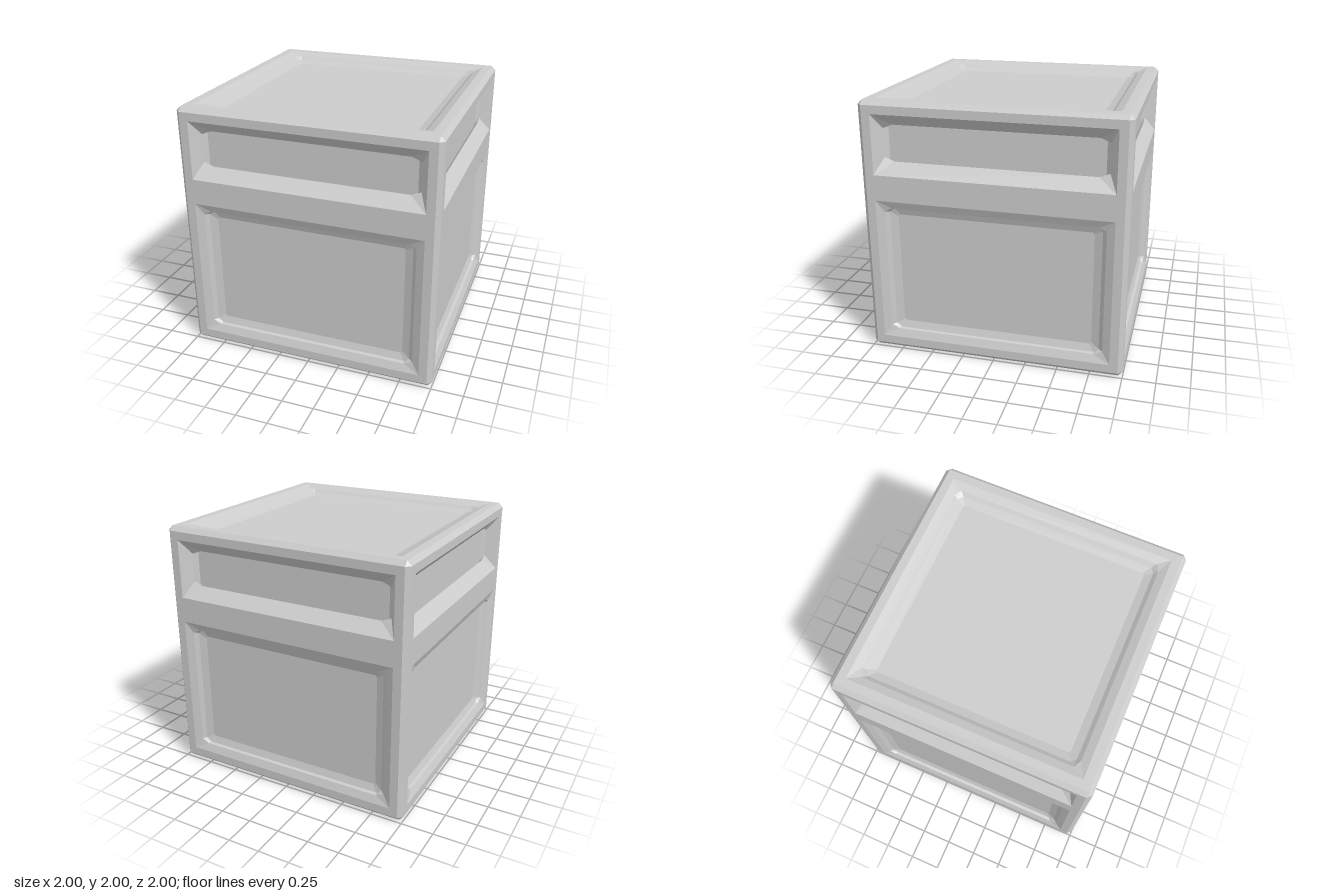
import * as THREE from 'three';
import { mergeVertices } from 'three/addons/utils/BufferGeometryUtils.js';

const E = 0.965; // half width of each face inside the chamfered edges
const material = new THREE.MeshStandardMaterial({ color: 0xcccccc, flatShading: true });

// Profile steps: inset across, inset up, depth, corner cut across, corner cut up
const shallow = [
  [0, 0, 0, 0, 0],
  [0.06, 0.06, 0.025, 0.06, 0.03],
  [0.09, 0.065, 0.05, 0.04, 0.03],
  [0.15, 0.12, 0.07, 0.015, 0.015],
];
const square = shallow.map(([x, y, d, cx, cy]) => [x, x, d, cx, cy]);
const deep = [
  [0, 0, 0, 0, 0],
  [0.06, 0.09, 0.09, 0.075, 0.03],
  [0.09, 0.055, 0.12, 0.03, 0.02],
];

function fromTriangles(points) {
  const g = new THREE.BufferGeometry();
  g.setAttribute('position', new THREE.Float32BufferAttribute(points.flat(), 3));
  g.computeVertexNormals();
  return g;
}

function addMesh(parent, geometry, name) {
  const mesh = new THREE.Mesh(geometry, material);
  mesh.name = name;
  parent.add(mesh);
}

// Eight-point ring with cut corners, anticlockwise from the lower left
function ring([x0, y0, x1, y1], [ix, iy, d, cx, cy]) {
  const l = x0 + ix, r = x1 - ix, b = y0 + iy, t = y1 - iy, z = 1 - d;
  return [
    [l, b + cy, z], [l + cx, b, z], [r - cx, b, z], [r, b + cy, z],
    [r, t - cy, z], [r - cx, t, z], [l + cx, t, z], [l, t - cy, z],
  ];
}

// Sunken panel: sloped border lofted through the rings, closed by a flat floor
function panelGeometry(rect, profile) {
  const rings = profile.map((step) => ring(rect, step));
  const tris = [];
  for (let k = 0; k + 1 < rings.length; k++) {
    for (let i = 0; i < 8; i++) {
      const j = (i + 1) % 8, a = rings[k], b = rings[k + 1];
      // The sharp outer corners need only one triangle
      if (k > 0 || i % 2 === 1) tris.push(a[i], a[j], b[j]);
      tris.push(a[i], b[j], b[i]);
    }
  }
  const floor = rings[rings.length - 1];
  for (let i = 1; i < 7; i++) tris.push(floor[0], floor[i], floor[i + 1]);
  return fromTriangles(tris);
}

// Flat frame with a rectangular opening for each panel
function frameGeometry(rects) {
  const path = ([x0, y0, x1, y1]) => [[x0, y0], [x1, y0], [x1, y1], [x0, y1]]
    .map(([x, y]) => new THREE.Vector2(x, y));
  const shape = new THREE.Shape(path([-E, -E, E, E]));
  for (const r of rects) shape.holes.push(new THREE.Path(path(r).reverse()));
  return mergeVertices(new THREE.ShapeGeometry(shape)).translate(0, 0, 1);
}

function makeFace(name, panels) {
  const face = new THREE.Group();
  face.name = name;
  addMesh(face, frameGeometry(panels.map((p) => p.rect)), name + 'Frame');
  for (const p of panels) addMesh(face, panelGeometry(p.rect, p.profile), p.name);
  return face;
}

// Chamfers belonging to one side: top, bottom and one upright, with two corners
function chamferGeometry() {
  const quad = (a, b, c, d) => [a, b, c, a, c, d];
  return fromTriangles([
    ...quad([-E, E, 1], [E, E, 1], [E, 1, E], [-E, 1, E]),
    ...quad([-E, -1, E], [E, -1, E], [E, -E, 1], [-E, -E, 1]),
    ...quad([E, -E, 1], [1, -E, E], [1, E, E], [E, E, 1]),
    [E, E, 1], [1, E, E], [E, 1, E],
    [E, -E, 1], [E, -1, E], [1, -E, E],
  ]);
}

export function createModel() {
  const model = new THREE.Group();
  model.name = 'panelledCube';
  const cube = new THREE.Group();
  cube.name = 'cube';
  cube.position.y = 1;
  model.add(cube);

  // Four matching sides
  ['front', 'left', 'back', 'right'].forEach((name, i) => {
    const side = makeFace(name, [
      { name: 'upperPanel', rect: [-0.9, 0.44, 0.9, 0.9], profile: deep },
      { name: 'lowerPanel', rect: [-0.9, -0.9, 0.9, 0.24], profile: shallow },
    ]);
    addMesh(side, chamferGeometry(), 'chamferedEdges');
    side.rotation.y = (i * Math.PI) / 2;
    cube.add(side);
  });

  // Top and bottom, each with one large panel
  for (const [name, turn] of [['top', -1], ['bottom', 1]]) {
    const face = makeFace(name, [
      { name: name + 'Panel', rect: [-0.9, -0.9, 0.9, 0.9], profile: square },
    ]);
    face.rotation.x = (turn * Math.PI) / 2;
    cube.add(face);
  }
  return model;
}
